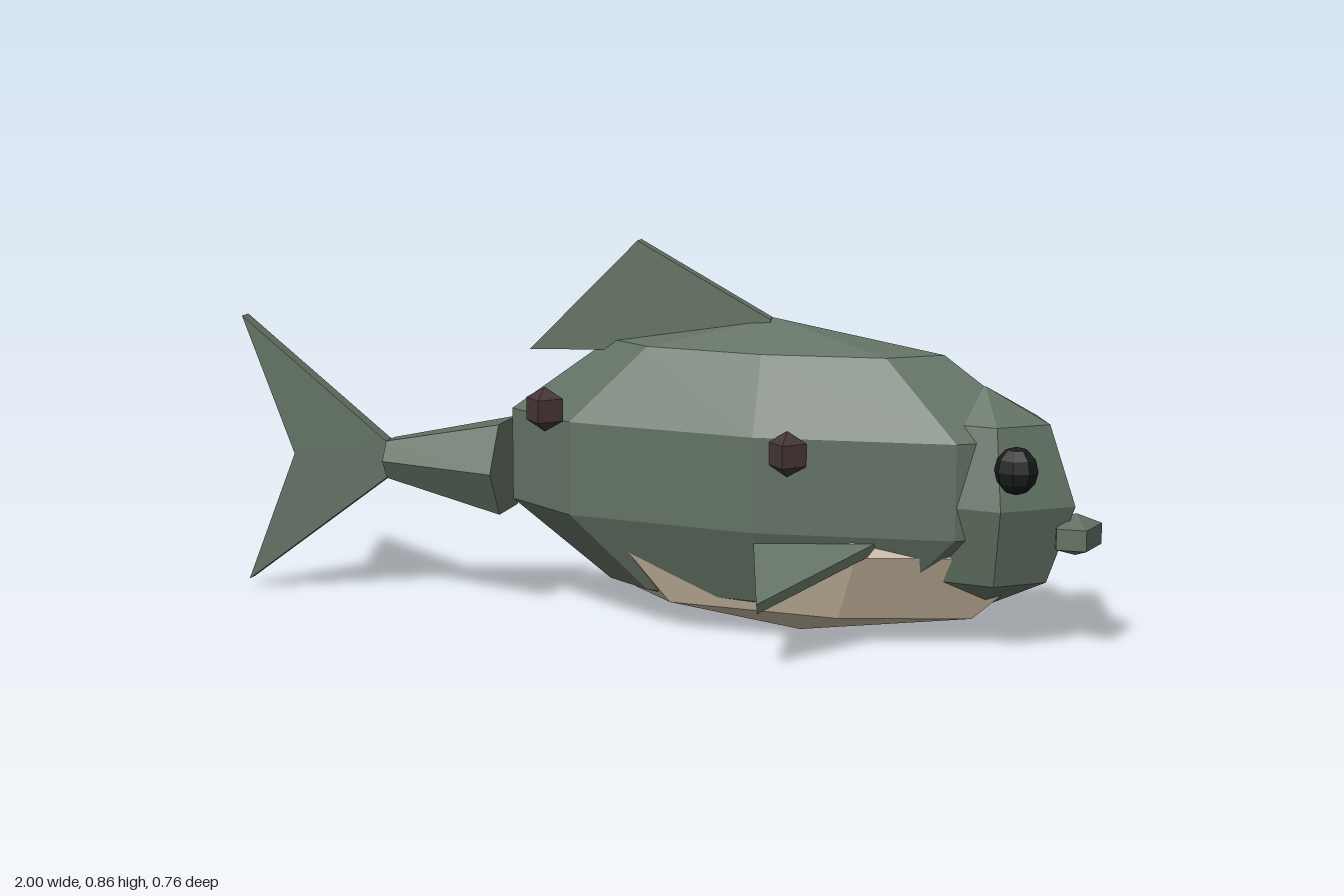
import * as THREE from 'three';

const paint = (name, color) => {
  const m = new THREE.MeshStandardMaterial({ color, flatShading: true });
  m.name = name;
  return m;
};

export function createModel() {
  const fish = new THREE.Group();
  fish.name = 'fish';
  const green = paint('scaleGreen', 0x627163);
  const cream = paint('bellyCream', 0xc4b59c);
  const brown = paint('spotBrown', 0x453535);
  const black = paint('eyeBlack', 0x1a1c1d);

  const add = (name, geometry, material) => {
    const mesh = new THREE.Mesh(geometry, material);
    mesh.name = name;
    fish.add(mesh);
    return mesh;
  };

  // Faceted ellipsoid with a vertical axis; turn swings its first corner from +x towards +z
  const blob = (name, material, [x, y, z], [rx, ry, rz], sides, rows, turn = 0) =>
    add(name, new THREE.SphereGeometry(1, sides, rows)
      .rotateY(Math.PI - turn).scale(rx, ry, rz).translate(x, y, z), material);

  // Flat plate, centred on its own plane
  const plate = (points, thickness) =>
    new THREE.ExtrudeGeometry(
      new THREE.Shape(points.map(([x, y]) => new THREE.Vector2(x, y))),
      { depth: thickness, bevelEnabled: false }
    ).translate(0, 0, -thickness / 2);

  // Body, belly, head and mouth
  blob('body', green, [0.275, 0.36, 0], [0.645, 0.34, 0.187], 8, 5);
  blob('belly', cream, [0.34, 0.21, 0], [0.57, 0.21, 0.163], 6, 4, 0.24);
  blob('head', green, [0.745, 0.327, 0], [0.21, 0.245, 0.146], 6, 4, 0.22);
  blob('mouth', green, [0.948, 0.26, 0], [0.063, 0.046, 0.092], 5, 3, -Math.PI / 10);

  // Tail stalk and forked tail fin
  add('tailStalk', new THREE.CylinderGeometry(0.05, 0.12, 0.29, 6)
    .rotateZ(Math.PI / 2).translate(-0.495, 0.332, 0), green);
  add('tailFin', plate([[-0.64, 0.37], [-1, 0.65], [-0.875, 0.33], [-1, 0.02], [-0.64, 0.29]], 0.034), green);

  // Back fin
  add('dorsalFin', plate([[-0.29, 0.605], [0.27, 0.63], [0.27, 0.697], [-0.035, 0.86]], 0.03), green);

  // Paired fins and eyes
  for (const side of [1, -1]) {
    const name = side > 0 ? 'right' : 'left';
    add(name + 'SideFin', plate([[0.265, 0], [0.545, 0], [0.34, 0.265]], 0.024)
      .rotateX(side * (Math.PI / 2 + 0.36)).translate(0, 0.233, side * 0.127), green);
    blob(name + 'Eye', black, [0.836, 0.416, side * 0.121], [0.047, 0.052, 0.045], 8, 6);
  }

  // Spots along both flanks
  const spots = [
    [-0.2, 0.5, 0.17], [0.35, 0.432, 0.17],
    [0.04, 0.462, -0.174], [0.49, 0.513, -0.174], [0.73, 0.4, -0.174]
  ];
  for (const at of spots) blob('spot', brown, at, [0.049, 0.05, 0.049], 4, 3);

  return fish;
}
